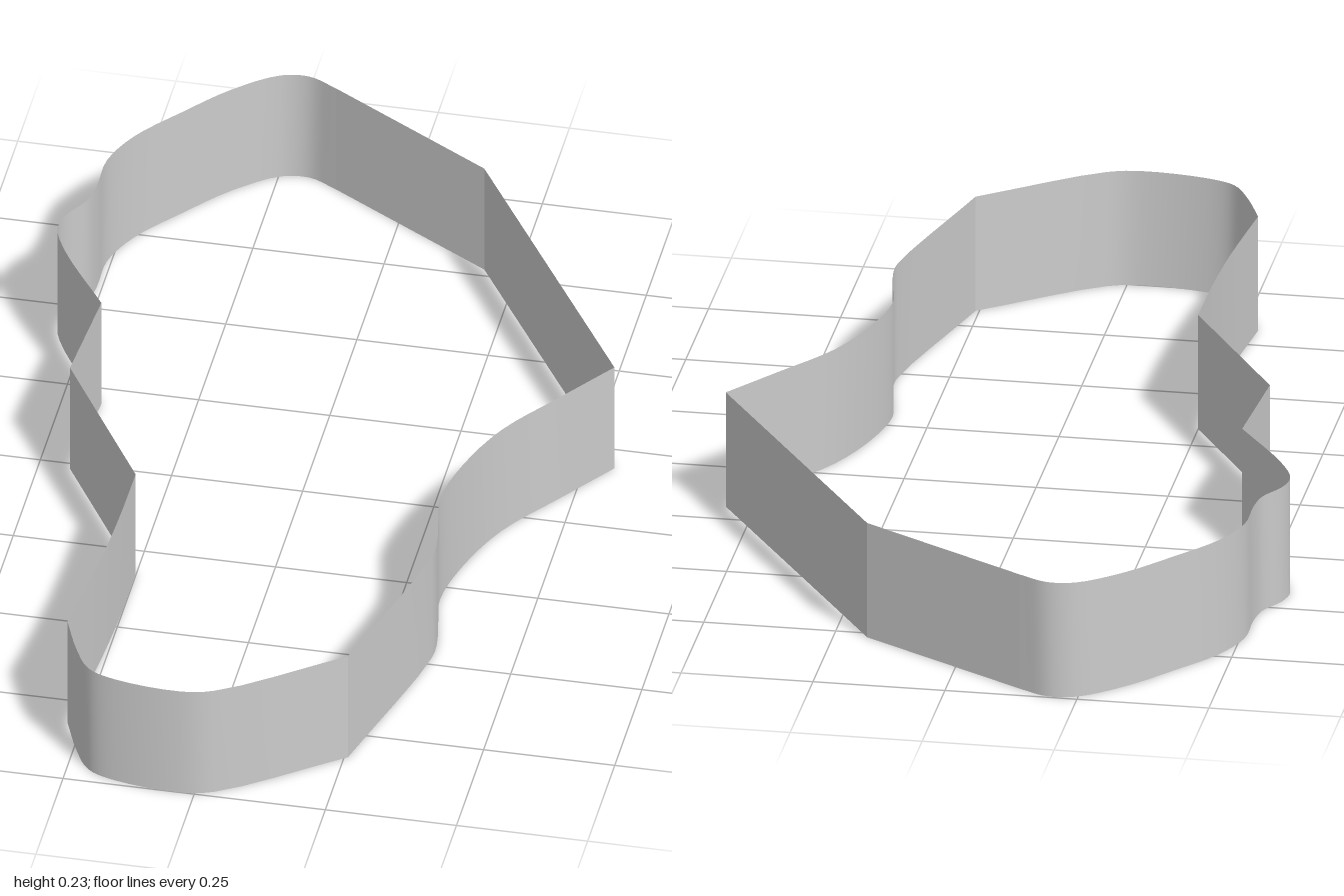
import * as THREE from 'three';

const HEIGHT = 0.231;

// Plan outline as [x, z] runs; each run is smooth, and runs meet at sharp corners.
const RUNS = {
  backRightWall: [[0.555, -0.19], [0.187, -0.77]],
  backWall: [[0.187, -0.77], [-0.137, -0.968]],
  backCorner: [[-0.137, -0.968], [-0.192, -0.995], [-0.246, -0.988], [-0.327, -0.924], [-0.402, -0.835],
    [-0.474, -0.74], [-0.508, -0.655], [-0.51, -0.57], [-0.518, -0.518], [-0.547, -0.466], [-0.554, -0.42],
    [-0.525, -0.35], [-0.425, -0.2]],
  notchWall: [[-0.425, -0.2], [-0.44, 0.017]],
  slantedWall: [[-0.44, 0.017], [-0.25, 0.33]],
  sideWall: [[-0.25, 0.33], [-0.252, 0.48], [-0.26, 0.63], [-0.279, 0.82]],
  frontCorner: [[-0.279, 0.82], [-0.244, 0.905], [-0.209, 0.962], [-0.155, 0.986], [-0.03, 1], [0.035, 0.985],
    [0.257, 0.825]],
  frontSideWall: [[0.257, 0.825], [0.345, 0.48], [0.345, 0.43], [0.333, 0.36], [0.322, 0.29], [0.342, 0.176],
    [0.39, 0.05], [0.475, -0.075], [0.555, -0.19]],
};

// Vertical sheet standing on a smooth plan curve
function wall(points, material) {
  const straight = points.length === 2;
  const curve = new THREE.CatmullRomCurve3(points.map(([x, z]) => new THREE.Vector3(x, 0, z)), false, 'centripetal');
  const steps = straight ? 1 : (points.length - 1) * 4;
  const positions = [], index = [];
  for (let i = 0; i <= steps; i++) {
    const p = curve.getPoint(i / steps);
    positions.push(p.x, 0, p.z, p.x, HEIGHT, p.z);
    if (i < steps) {
      const a = i * 2;
      index.push(a, a + 2, a + 1, a + 1, a + 2, a + 3);
    }
  }
  const geometry = new THREE.BufferGeometry();
  geometry.setAttribute('position', new THREE.Float32BufferAttribute(positions, 3));
  geometry.setIndex(index);
  geometry.computeVertexNormals();
  return new THREE.Mesh(geometry, material);
}

export function createModel() {
  const model = new THREE.Group();
  model.name = 'outlineBand';
  const material = new THREE.MeshStandardMaterial({ color: 0xcccccc, side: THREE.DoubleSide });
  for (const [name, points] of Object.entries(RUNS)) {
    const mesh = wall(points, material);
    mesh.name = name;
    model.add(mesh);
  }
  return model;
}
